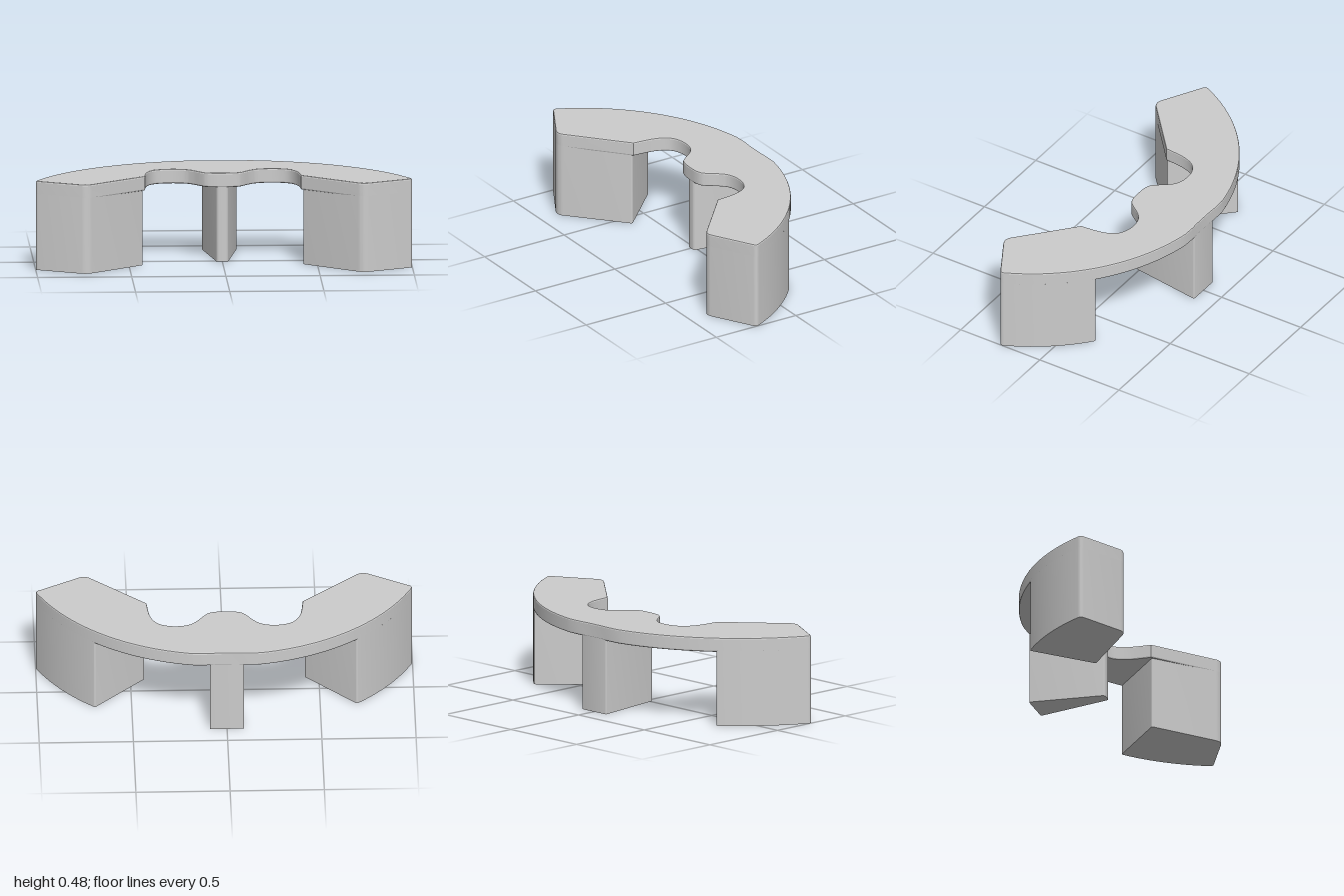
import * as THREE from 'three';
import { toCreasedNormals } from 'three/addons/utils/BufferGeometryUtils.js';

const HEIGHT = 0.478, SLAB_BOTTOM = 0.4, BEVEL = 0.008;
const ARC_Z = 0.696, ARC_R = 1.099; // centre and radius of the curved back
const material = new THREE.MeshStandardMaterial({ color: 0xcccccc });

// All plan points are (x, z)
const v = (x, z) => new THREE.Vector2(x, z);
const mirror = (points) => points.map((p) => v(-p.x, p.y)).reverse();

// Points along the curved back between two x positions
function backArc(x0, x1, steps) {
  const a0 = Math.asin(x0 / ARC_R), a1 = Math.asin(x1 / ARC_R);
  return Array.from({ length: steps + 1 }, (_, i) => {
    const a = a0 + (a1 - a0) * i / steps;
    return v(ARC_R * Math.sin(a), ARC_Z - ARC_R * Math.cos(a));
  });
}

// Rounded corner between two neighbouring points
function fillet(prev, corner, next, r) {
  const toward = (p) => corner.clone().add(p.clone().sub(corner).setLength(r));
  return new THREE.QuadraticBezierCurve(toward(prev), corner, toward(next)).getPoints(8);
}

// Upright prism from a plan outline
function prism(name, points, bottom, top, bevel = 0) {
  const shape = new THREE.Shape(points.map((p) => v(p.x, -p.y)));
  const geometry = new THREE.ExtrudeGeometry(shape, {
    depth: top - bottom - 2 * bevel,
    bevelEnabled: bevel > 0,
    bevelThickness: bevel,
    bevelSize: bevel,
    bevelOffset: -bevel,
    bevelSegments: 2,
  });
  geometry.rotateX(-Math.PI / 2).translate(0, bottom + bevel, 0);
  const mesh = new THREE.Mesh(toCreasedNormals(geometry, 0.35), material);
  mesh.name = name;
  return mesh;
}

export function createModel() {
  const group = new THREE.Group();
  group.name = 'curvedDesk';

  // Corners of the +x end
  const outer = v(1.005, 0.248), front = v(0.735, 0.4), inner = v(0.414, 0.118);
  const endCorners = [
    ...fillet(v(0.96, 0.16), outer, front, 0.022),
    ...fillet(outer, front, inner, 0.04),
  ];

  // Desktop: curved back with a flat middle, two round bays in front
  const bay = new THREE.SplineCurve([
    inner, v(0.4, 0), v(0.367, -0.072), v(0.315, -0.104), v(0.25, -0.111), v(0.19, -0.096),
    v(0.15, -0.06), v(0.115, -0.013), v(0.088, 0.014), v(0.05, 0.026), v(0, 0.028),
  ]).getPoints(60);
  const half = [
    v(0.06, -0.387), v(0.11, -0.39),
    ...backArc(0.18, 0.985, 28),
    ...endCorners,
    ...bay.slice(0, -1),
  ];
  group.add(prism('desktop', [...half, v(0, 0.028), ...mirror(half)], SLAB_BOTTOM, HEIGHT, BEVEL));

  // End blocks, meeting the desktop just above its lower bevel
  const back = backArc(0.695, 0.985, 12);
  const legInner = v(0.424, 0.118);
  const block = [
    ...fillet(legInner, back[0], back[2], 0.01),
    ...back.slice(1),
    ...endCorners,
    ...fillet(front, legInner, back[0], 0.01),
  ];
  group.add(prism('leftEndBlock', block, 0, SLAB_BOTTOM + BEVEL));
  group.add(prism('rightEndBlock', mirror(block), 0, SLAB_BOTTOM + BEVEL));

  // Centre support, tapering towards the front
  const b = v(0.092, -0.386), f = v(0.03, 0.022);
  const side = [
    ...fillet(v(0, b.y), b, f, 0.01),
    ...fillet(b, f, v(0, f.y), 0.018),
  ];
  group.add(prism('centreSupport', [...side, ...mirror(side)], 0, SLAB_BOTTOM + BEVEL));

  return group;
}
